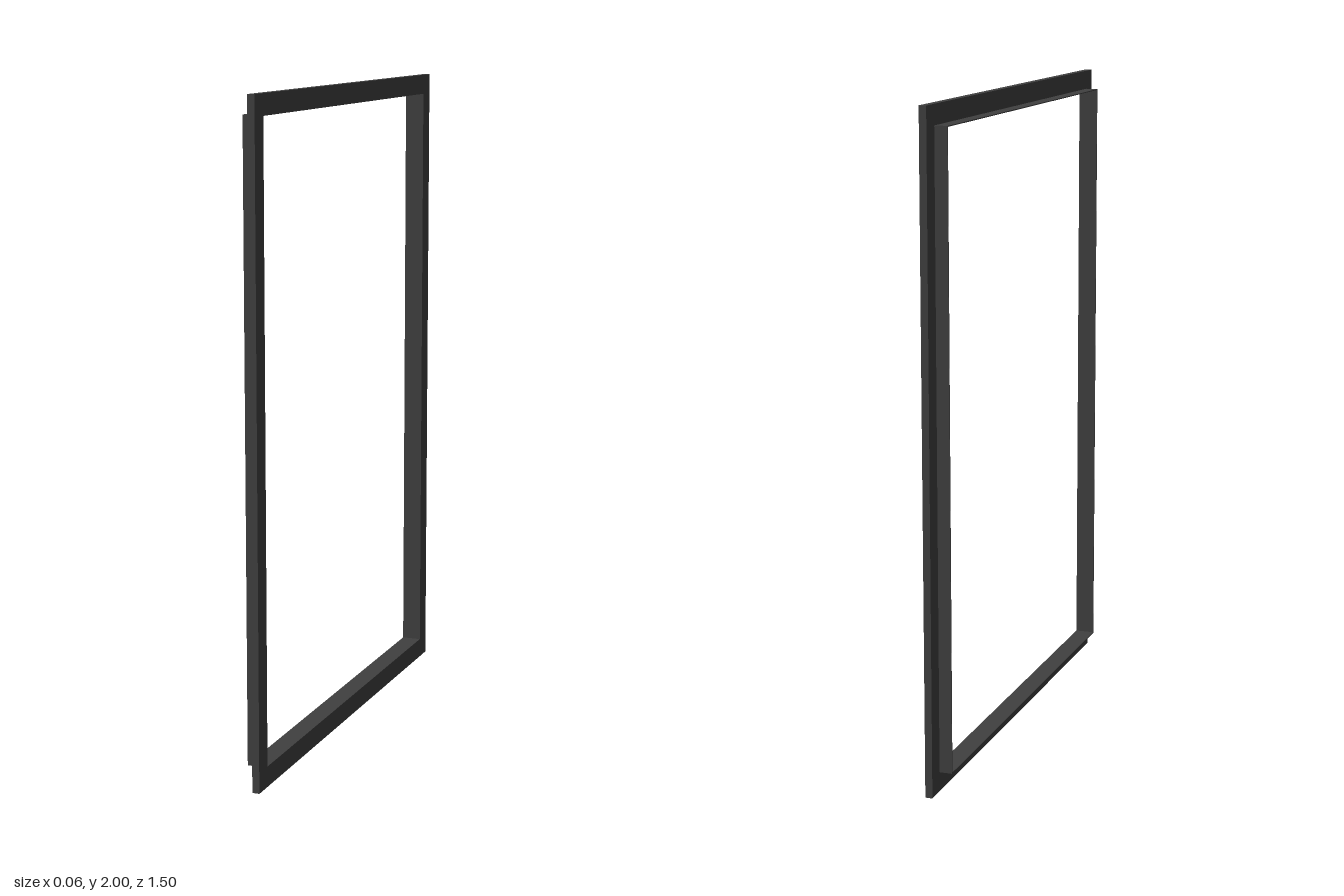
import * as THREE from 'three';

const frameMaterial = new THREE.MeshStandardMaterial({ color: 0x404040 });
frameMaterial.name = 'charcoal';

// Corner points of an upright rectangle, inset from the overall 1.5 x 2 outline
function rectangle(inset) {
  const w = 0.75 - inset;
  return [
    new THREE.Vector2(-w, inset),
    new THREE.Vector2(w, inset),
    new THREE.Vector2(w, 2 - inset),
    new THREE.Vector2(-w, 2 - inset),
  ];
}

// Rectangular ring standing in the yz plane, from x0 to x1
function ring(name, outerInset, innerInset, x0, x1) {
  const shape = new THREE.Shape(rectangle(outerInset));
  shape.holes.push(new THREE.Path(rectangle(innerInset)));
  const geometry = new THREE.ExtrudeGeometry(shape, { depth: x1 - x0, bevelEnabled: false });
  geometry.rotateY(Math.PI / 2);
  geometry.translate(x0, 0, 0);
  const mesh = new THREE.Mesh(geometry, frameMaterial);
  mesh.name = name;
  return mesh;
}

export function createModel() {
  const model = new THREE.Group();
  model.name = 'rectangularFrame';
  // Wide flat face of the frame
  model.add(ring('flange', 0, 0.062, 0.008, 0.03));
  // Thin wall running back from the inner edge of the flange
  model.add(ring('innerLip', 0.059, 0.062, -0.031, 0.008));
  return model;
}
